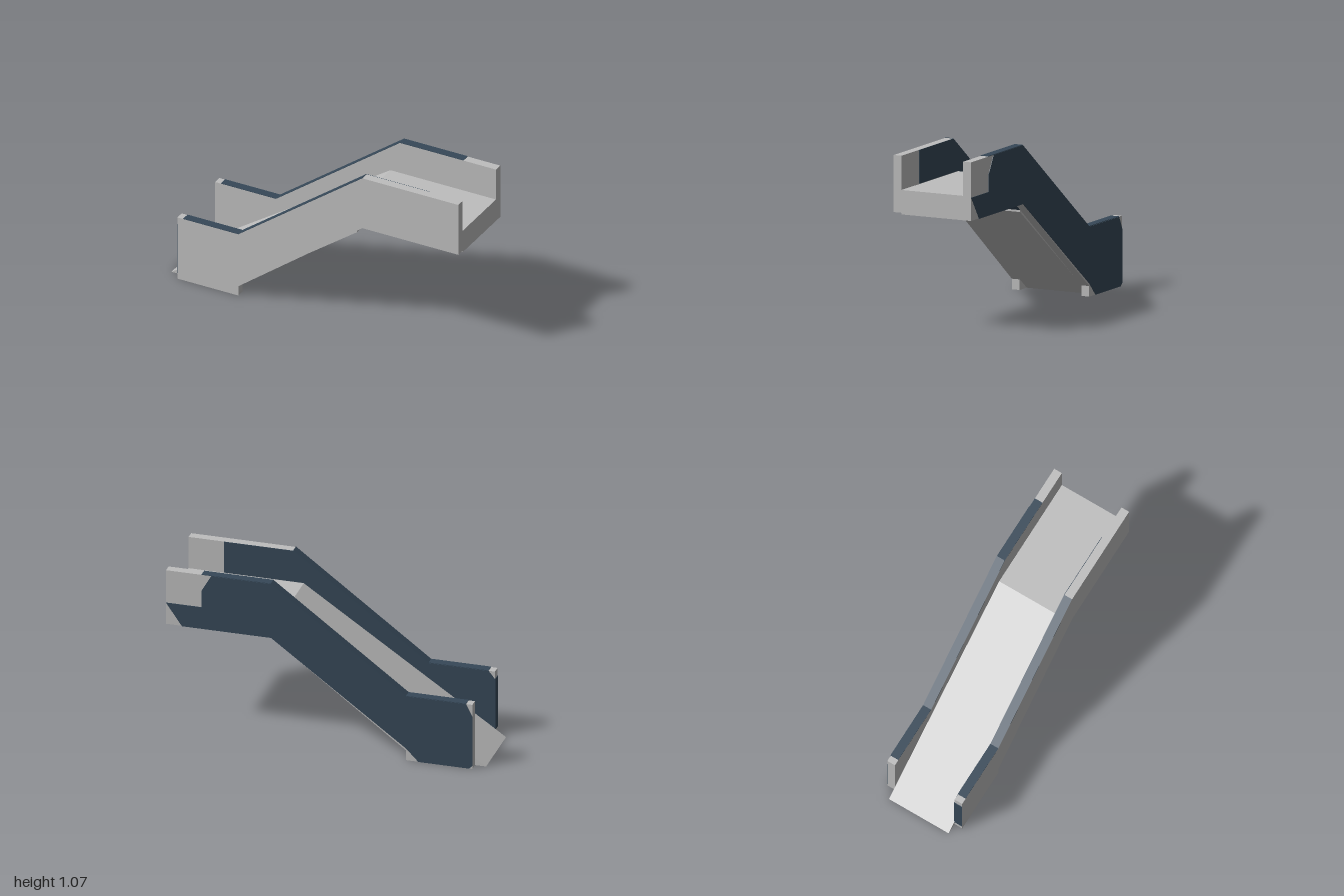
import * as THREE from 'three';

const grey = new THREE.MeshStandardMaterial({ color: 0xbebebe });
grey.name = 'light grey';
const navy = new THREE.MeshStandardMaterial({ color: 0x364858 });
navy.name = 'dark navy';

const IN = 0.211, OUT = 0.265, T = 0.003;

// Extrudes an outline in the xy plane between two z positions
function slab(name, points, z0, z1, material) {
  const shape = new THREE.Shape(points.map(([x, y]) => new THREE.Vector2(x, y)));
  const geometry = new THREE.ExtrudeGeometry(shape, { depth: z1 - z0, bevelEnabled: false });
  geometry.translate(0, 0, z0);
  const mesh = new THREE.Mesh(geometry, material);
  mesh.name = name;
  return mesh;
}

// Outline of a thin strip that lies above (or, for negative t, below) a line
const strip = (line, t) => [...line, ...line.map(([x, y]) => [x, y + t]).reverse()];

// Outline of a side wall whose upper underside is at the given height
const wallOutline = (under) => [
  [-0.93, 0], [-0.512, 0], [-0.512, 0.065], [0.34, under], [1, under],
  [1, 1.065], [0.34, 1.065], [-0.512, 0.43], [-0.93, 0.43],
];

export function createModel() {
  const model = new THREE.Group();
  model.name = 'rampWalkway';

  // Sloping deck and upper landing
  model.add(slab('rampDeck', [
    [-1, 0], [-0.603, 0], [0.275, 0.64], [0.275, 0.655], [0.34, 0.705],
    [1, 0.705], [1, 0.855], [0.275, 0.855],
  ], -IN, IN, grey));

  // Side walls
  model.add(slab('frontWall', wallOutline(0.715), IN, OUT, grey));
  model.add(slab('backWall', wallOutline(0.705), -OUT, -IN, grey));

  // Painted outer face of the back wall, with bare corners
  model.add(slab('backWallOuterPaint', [
    [-0.93, 0.02], [-0.91, 0], [-0.59, 0], [-0.512, 0.08], [0.34, 0.705], [0.9, 0.705],
    [1, 0.848], [0.776, 0.848], [0.776, 0.96], [0.715, 1.065],
    [0.34, 1.065], [-0.512, 0.43], [-0.89, 0.43], [-0.93, 0.35],
  ], -OUT - T, -OUT, navy));

  // Painted inner face of the front wall
  model.add(slab('frontWallInnerPaint', [
    [-0.93, 0.05], [0.275, 0.858], [0.776, 0.858], [0.776, 1.065],
    [0.34, 1.065], [-0.512, 0.43], [-0.89, 0.43], [-0.93, 0.38],
  ], IN - T, IN, navy));

  // Painted tops of the walls
  const low = [[-0.89, 0.43], [-0.512, 0.43], [0.34, 1.065]];
  model.add(slab('frontWallTopPaint', strip(low, T), IN, OUT, navy));
  model.add(slab('backWallTopPaint', strip([...low, [0.776, 1.065]], T), -OUT, -IN, navy));

  // Painted low end of the front wall
  model.add(slab('frontWallEndPaint',
    [[-0.93 - T, 0.04], [-0.93, 0.04], [-0.93, 0.38], [-0.93 - T, 0.38]], IN, OUT, navy));

  // Painted edge of the landing, showing below the front wall
  model.add(slab('landingEdgePaint',
    [[0.34, 0.705], [0.9, 0.705], [0.9, 0.715], [0.34, 0.715]], IN, IN + T, navy));

  // Painted slope beneath the landing joint
  model.add(slab('jointUndersidePaint',
    strip([[0.275, 0.655], [0.34, 0.705]], -T), -IN, IN, navy));

  // Painted underside of the landing
  const under = new THREE.Shape([
    [0.34, -OUT], [0.9, -OUT], [0.9, IN], [0.43, IN],
  ].map(([x, z]) => new THREE.Vector2(x, z)));
  const geometry = new THREE.ExtrudeGeometry(under, { depth: T, bevelEnabled: false });
  geometry.rotateX(Math.PI / 2);
  geometry.translate(0, 0.705, 0);
  const underside = new THREE.Mesh(geometry, navy);
  underside.name = 'landingUndersidePaint';
  model.add(underside);

  return model;
}
